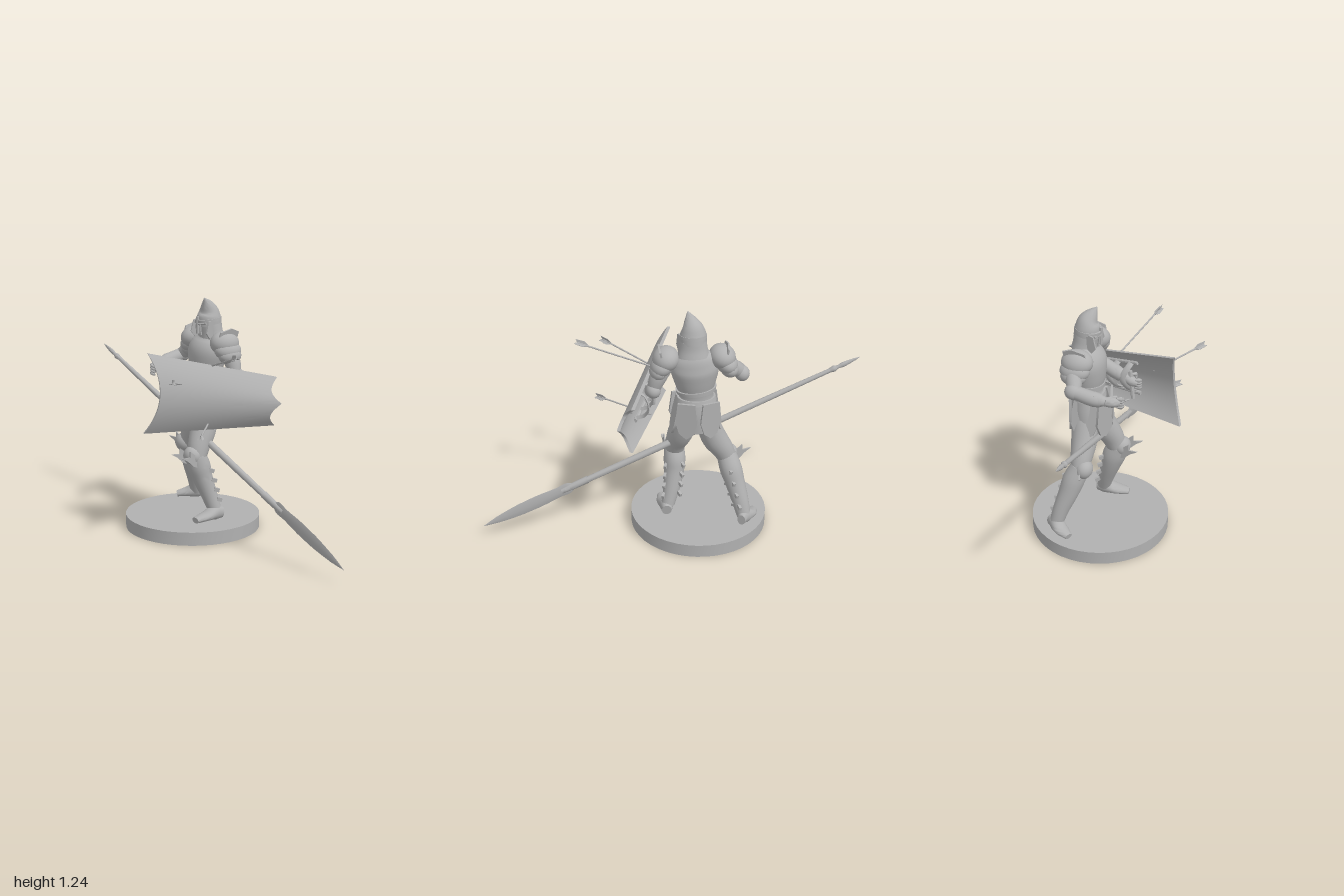
import * as THREE from 'three';
import { toCreasedNormals } from 'three/addons/utils/BufferGeometryUtils.js';

const V = (x, y, z) => new THREE.Vector3(x, y, z);

export function createModel() {
  const model = new THREE.Group();
  const grey = new THREE.MeshStandardMaterial({ color: 0xb0b0b0, side: THREE.DoubleSide });
  grey.name = 'plain grey';

  function add(name, geo, pos = [0, 0, 0], rot = [0, 0, 0], scale = [1, 1, 1]) {
    const mesh = new THREE.Mesh(toCreasedNormals(geo, 0.75), grey);
    mesh.name = name;
    mesh.position.set(...pos);
    mesh.rotation.set(...rot);
    mesh.scale.set(...scale);
    model.add(mesh);
    return mesh;
  }

  // Joins equal-length closed rings of points into a surface
  function skin(rings) {
    const n = rings[0].length, pos = [], idx = [];
    rings.forEach(r => r.forEach(p => pos.push(p.x, p.y, p.z)));
    for (let i = 0; i < rings.length - 1; i++) for (let j = 0; j < n; j++) {
      const a = i * n + j, b = i * n + (j + 1) % n;
      idx.push(a, b, a + n, b, b + n, a + n);
    }
    const g = new THREE.BufferGeometry();
    g.setAttribute('position', new THREE.Float32BufferAttribute(pos, 3));
    g.setIndex(idx);
    return g;
  }

  // Elliptical loft through stations [x, y, z, radiusA, radiusB]; radiusA lies along ref
  function limb(name, st, { ref = V(1, 0, 0), sides = 20, steps = 4, open = false } = {}) {
    const path = new THREE.CatmullRomCurve3(st.map(s => V(s[0], s[1], s[2])));
    const size = new THREE.CatmullRomCurve3(st.map(s => V(s[3], s[4], 0)));
    const rings = [], count = (st.length - 1) * steps;
    for (let i = 0; i <= count; i++) {
      const c = path.getPoint(i / count), r = size.getPoint(i / count), t = path.getTangent(i / count);
      const a = ref.clone().addScaledVector(t, -ref.dot(t)).normalize(), b = t.clone().cross(a);
      const ring = [];
      for (let j = 0; j < sides; j++) {
        const w = j / sides * Math.PI * 2;
        ring.push(c.clone().addScaledVector(a, Math.cos(w) * Math.max(r.x, 0.0005))
          .addScaledVector(b, Math.sin(w) * Math.max(r.y, 0.0005)));
      }
      if (i === 0 && !open) rings.push(ring.map(() => c));
      rings.push(ring);
      if (i === count && !open) rings.push(ring.map(() => c));
    }
    return add(name, skin(rings));
  }
  const ball = (name, p, s, rot) => add(name, new THREE.SphereGeometry(1, 20, 14), p, rot, s);
  const plate = (name, pts, depth, pos, rot) => add(name, new THREE.ExtrudeGeometry(
    new THREE.Shape(pts.map(p => new THREE.Vector2(...p))), { depth, bevelEnabled: false }), pos, rot);
  const rod = (name, a, b, r) => limb(name, [[...a, r, r], [...b, r, r]], { ref: V(0.3, 0.2, 1).normalize(), sides: 8, steps: 1 });
  const Z = { ref: V(0, 0, 1) };

  add('base', new THREE.CylinderGeometry(0.363, 0.363, 0.07, 44), [0.03, 0.035, -0.147]);

  // Torso armour
  limb('torso', [[.09, .62, -.125, .07, .09], [.09, .74, -.12, .078, .098], [.095, .8, -.12, .07, .086],
    [.095, .87, -.115, .084, .104], [.1, .95, -.11, .092, .122], [.11, 1.01, -.105, .072, .105], [.11, 1.05, -.1, .045, .05]], { sides: 28 });
  limb('breastplateRim', [[.095, .82, -.12, .083, .1], [.095, .84, -.118, .084, .104]], { sides: 28 });
  limb('belt', [[.092, .765, -.12, .086, .105], [.092, .79, -.12, .08, .098]], { sides: 28 });
  limb('skirt', [[.092, .775, -.12, .08, .098], [.09, .7, -.122, .088, .108], [.085, .61, -.125, .088, .112]], { sides: 28, open: true });
  for (const s of [1, -1]) {
    const hip = [[-.06, .19], [.06, .19], [.075, .08], [.045, .015], [0, -.01], [-.05, .02], [-.075, .08]];
    plate('sideTasset', hip, .012, [.085, .58, -.123 + s * .125], [-s * .2, 0, 0]);
    plate('frontTasset', hip, .012, [-.015, .58, -.12 + s * .06], [0, Math.PI / 2 + s * .3, 0]);
    plate('rearTasset', hip.map(p => [p[0] * .75, p[1]]), .012, [.165, .59, -.125 + s * .06], [0, Math.PI / 2 - s * .3, 0]);
  }

  // Helmet with open face, guards and a neck flare
  limb('neckGuard', [[.118, 1.02, -.1, .066, .082], [.112, 1.06, -.1, .062, .072], [.106, 1.1, -.1, .064, .066]], { sides: 24 });
  limb('helmet', [[.106, 1.09, -.1, .066, .066], [.103, 1.13, -.1, .064, .065], [.1, 1.165, -.097, .052, .054],
    [.083, 1.2, -.088, .032, .032], [.06, 1.235, -.077, .003, .003]], { sides: 24 });
  limb('browBand', [[.1, 1.115, -.1, .07, .069], [.098, 1.13, -.1, .07, .068]], { sides: 24 });
  rod('noseGuard', [.033, 1.14, -.1], [.034, 1.05, -.1], .008);
  for (const s of [1, -1]) {
    rod('eyeRim', [.033, 1.1, -.1], [.052, 1.105, -.1 + s * .05], .006);
    plate('cheekGuard', [[-.02, .06], [.025, .07], [.015, -.01], [-.01, -.03], [-.035, 0]], .008,
      [.072, 1.055, -.104 + s * .064], [0, s * .25, 0]);
    rod('faceBar', [.036, 1.1, -.1 + s * .018], [.042, 1.045, -.1 + s * .018], .005);
  }

  // Layered shoulder armour with an upright outer flange
  for (const [s, z] of [[1, .035], [-1, -.245]]) {
    ball('shoulderCap', [.11, 1.01, z], [.08, .062, .068], [s * .35, 0, 0]);
    ball('shoulderPlate', [.115, .975, z + s * .022], [.076, .05, .058], [s * .5, 0, 0]);
    ball('lowerShoulderPlate', [.118, .95, z + s * .036], [.066, .045, .048], [s * .6, 0, 0]);
    plate('shoulderFlange', [[-.06, 0], [.055, 0], [.065, .05], [.02, .068], [-.045, .05]], .009,
      [.11, 1.022, z + s * .018], [s * .2, 0, 0]);
  }

  // Left arm behind the shield, right arm reaching forward
  const arms = [
    ['left', [.11, .99, .03], [.13, .92, .075], [.13, .85, .1], [.03, .795, .1], [-.035, .765, .092], [-.1, .74, .09]],
    ['right', [.12, .99, -.24], [.11, .95, -.295], [.09, .905, -.35], [0, .88, -.345], [-.055, .866, -.33], [-.12, .852, -.3]]];
  for (const [side, a, b, c, d, e, f] of arms) {
    limb(side + 'UpperArm', [[...a, .045, .045], [...b, .043, .043], [...c, .032, .032]]);
    ball(side + 'ElbowGuard', [c[0] + .008, c[1], c[2]], [.042, .04, .038]);
    limb(side + 'Forearm', [[...c, .034, .034], [...d, .037, .037], [...e, .025, .025]], Z);
    limb(side + 'Cuff', [[...d, .034, .04], [d[0] * .3 + e[0] * .7, d[1] * .3 + e[1] * .7, d[2] * .3 + e[2] * .7, .034, .034]], Z);
    limb(side + 'Hand', [[...e, .02, .024], [(e[0] + f[0]) / 2, (e[1] + f[1]) / 2, (e[2] + f[2]) / 2, .028, .026], [...f, .016, .018]], Z);
    for (let i = 0; i < 4; i++) {
      const p = [f[0] + .012, f[1] + .022 - i * .014, f[2] - .005];
      limb(side + 'Finger', [[...p, .008, .008], [p[0] - .025, p[1] - .004, p[2] + .014, .008, .008],
        [p[0] - .02, p[1] - .01, p[2] + .034, .006, .006]], { ref: V(0, 1, 0), sides: 8 });
    }
    rod(side + 'Thumb', [e[0] - .02, e[1] + .015, e[2] + .012], [e[0] - .05, e[1] + .012, e[2] + .038], .009);
  }

  // Legs
  limb('leftThigh', [[.075, .66, -.075, .07, .06], [.035, .55, -.05, .07, .066], [-.005, .47, -.03, .06, .056], [-.025, .41, -.022, .05, .05]]);
  limb('leftGreave', [[-.035, .42, -.022, .056, .052], [-.01, .36, -.022, .062, .058], [.008, .3, -.018, .054, .054],
    [.04, .2, 0, .043, .044], [.062, .12, .02, .036, .036]]);
  limb('leftFoot', [[.1, .102, .03, .026, .03], [.06, .108, .028, .036, .04], [0, .098, .034, .042, .025], [-.075, .088, .042, .025, .016]], Z);
  limb('rightThigh', [[.1, .66, -.17, .068, .06], [.092, .54, -.215, .066, .066], [.092, .47, -.26, .056, .058], [.092, .42, -.285, .048, .05]]);
  limb('rightGreave', [[.09, .43, -.285, .05, .052], [.12, .36, -.305, .058, .058], [.142, .29, -.325, .052, .052],
    [.178, .19, -.352, .042, .044], [.2, .11, -.37, .036, .036]]);
  limb('rightFoot', [[.24, .11, -.35, .022, .03], [.2, .112, -.372, .036, .042], [.16, .1, -.405, .04, .025], [.11, .088, -.435, .022, .016]], Z);

  // Knee guards with pointed fans, and buckles down the calves
  const fan = [[0, -.05], [-.05, -.035], [-.09, 0], [-.125, .02], [-.075, .018], [-.075, .05], [-.035, .02], [0, .035]];
  ball('leftKneeGuard', [-.052, .42, -.022], [.046, .052, .052], [0, 0, .3]);
  ball('rightKneeGuard', [.068, .425, -.295], [.046, .052, .052], [0, 0, .3]);
  for (const s of [1, -1]) plate('leftKneeFan', fan, .008, [-.026, .41, -.024 + s * .036], [0, s * .15, 0]);
  plate('rightKneeFan', fan, .008, [.095, .42, -.3], [0, -1.25, 0]);
  for (let i = 0; i < 4; i++) {
    const k = i / 3, box = new THREE.BoxGeometry(.028, .02, .014);
    add('leftBuckle', box, [.05 + k * .03, .35 - k * .16, -.06 + k * .02], [0, .5, -.3]);
    add('leftOuterBuckle', box, [.035 + k * .04, .34 - k * .16, .03 + k * .015], [0, -.4, -.3]);
    add('rightBuckle', box, [.17 + k * .055, .37 - k * .19, -.295 - k * .045], [0, .3, -.3]);
    add('rightInnerBuckle', box, [.115 + k * .065, .34 - k * .16, -.262 - k * .05], [0, -.4, -.3]);
  }

  // Curved shield with a scalloped right end
  const lerp = THREE.MathUtils.lerp;
  function shieldPoint(u, v, t) {
    const bow = 4 * v * (1 - v);
    const x = lerp(lerp(-.36, -.32, v) + .035 * bow, lerp(.29, .31, v) - .045 * Math.abs(Math.sin(v * Math.PI * 2)) - .012 * bow, u);
    const y = lerp(lerp(.585, .59, u), lerp(.985, .84, u), v);
    return V(x + t * .35, y, .106 + .373 * x + .07 * bow + .035 * (1 - v) * (1 - u * .5) - t);
  }
  const rows = 32, shieldRing = (u, t) => {
    const ring = [];
    for (let i = rows; i >= 0; i--) ring.push(shieldPoint(u, i / rows, 0));
    for (let i = 0; i <= rows; i++) ring.push(shieldPoint(u, i / rows, t));
    return ring;
  };
  const shieldRings = [shieldRing(0, 0)];
  for (let i = 0; i <= 12; i++) shieldRings.push(shieldRing(i / 12, .016));
  shieldRings.push(shieldRing(1, 0));
  add('shield', skin(shieldRings));

  // Arm straps and raised fittings inside the shield
  const inner = (u, v, t) => shieldPoint(u, v, t).toArray();
  for (const u of [.42, .56, .7]) {
    limb('strap', [[...inner(u, .25, .01), .016, .005], [...inner(u, .35, .07), .016, .005], [...inner(u, .55, .1), .016, .005],
      [...inner(u, .72, .06), .016, .005], [...inner(u, .8, .01), .016, .005]], { sides: 8 });
  }
  for (const v of [.25, .5, .78]) rod('shieldFitting', inner(.36, v, .02), inner(.74, v, .02), .011);
  rod('grip', inner(.4, .2, .055), inner(.4, .65, .055), .011);

  // Arrows stuck in the shield
  for (const [a, b] of [[[-.39, .895, .33], [-.185, .832, .09]], [[-.12, 1.007, .465], [-.01, .912, .1]], [[-.26, .62, .37], [-.03, .62, .1]]]) {
    const tail = V(...a), head = V(...b), dir = head.clone().sub(tail).normalize();
    rod('arrowShaft', a, b, .0045);
    for (let i = 0; i < 3; i++) {
      const vane = plate('arrowFeather', [[0, 0], [.015, -.012], [.018, .035], [0, .07]], .002, a);
      vane.quaternion.setFromUnitVectors(V(0, 1, 0), dir).multiply(new THREE.Quaternion().setFromAxisAngle(V(0, 1, 0), i * Math.PI * 2 / 3));
    }
  }

  // Spear: butt spike, tapering shaft, socket and leaf blade
  const butt = V(-.045, .895, -.99), tip = V(.115, .075, 1);
  const spear = (name, list, sides) => limb(name, list.map(([k, ra, rb]) => [...butt.clone().lerp(tip, k).toArray(), ra, rb]), { sides, steps: 3 });
  spear('spearShaft', [[.06, .011, .011], [.3, .016, .016], [.55, .018, .018], [.78, .015, .015]], 14);
  spear('buttSpike', [[0, .001, .001], [.02, .006, .009], [.045, .011, .013], [.058, .009, .009], [.068, .016, .016], [.08, .011, .011]], 12);
  spear('spearSocket', [[.72, .019, .019], [.75, .017, .019], [.79, .013, .015]], 12);
  spear('spearBlade', [[.755, .009, .012], [.775, .01, .034], [.8, .01, .03], [.85, .01, .036], [.9, .009, .034], [.96, .006, .02], [1, .001, .001]], 4);
  return model;
}
